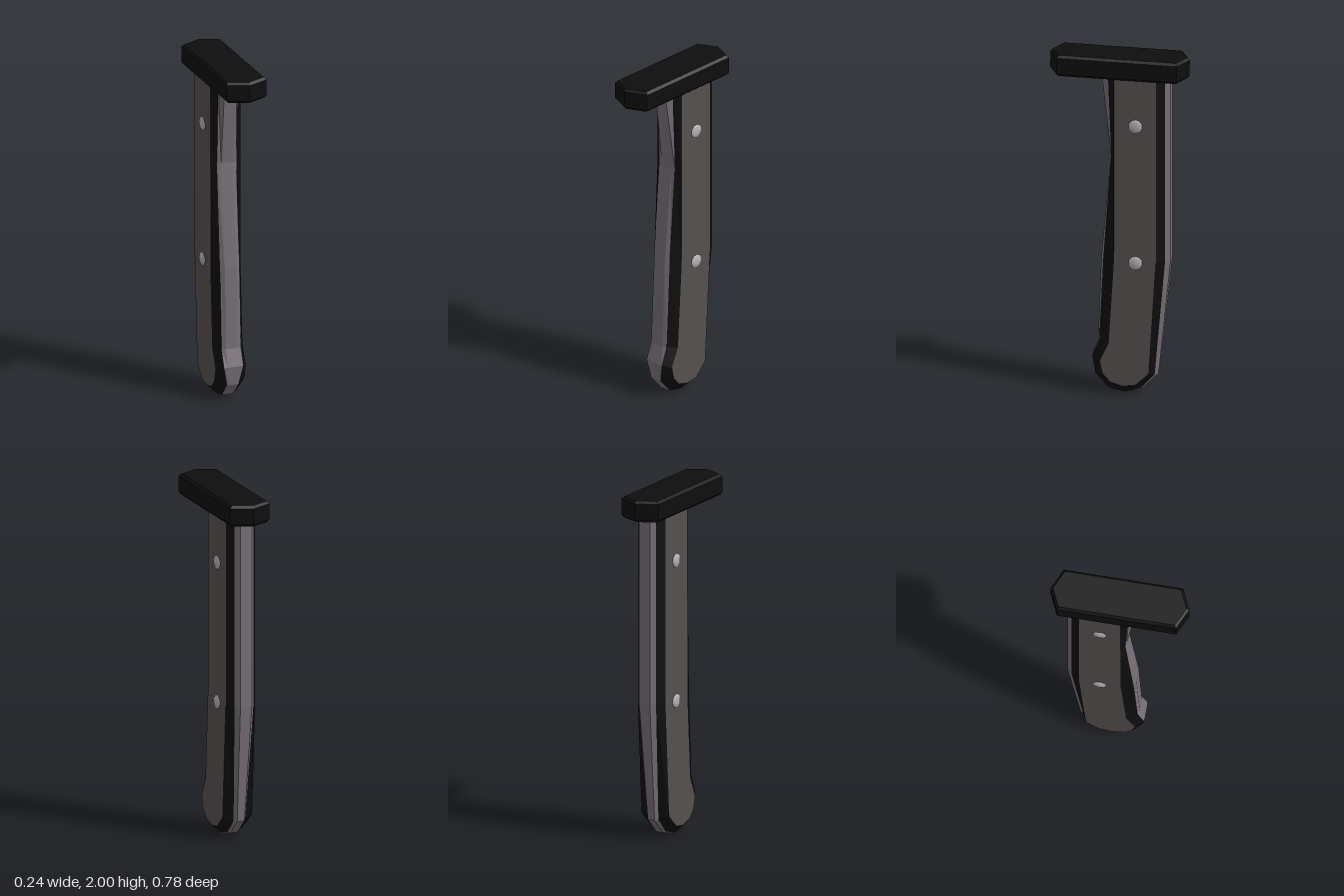
import * as THREE from 'three';

const mat = (name, color) => {
  const m = new THREE.MeshStandardMaterial({ color });
  m.name = name;
  m.flatShading = true;
  return m;
};

// Contours as [z, y], running down the front, round the butt and up the back
const edge = [[.10, 1.9], [.045, 1.4], [.10, .8], [.118, .32], [.148, .22], [.135, .11],
  [.06, .025], [-.03, .004], [-.13, .03], [-.22, .12], [-.29, .8], [-.29, 1.9]];
const seam = [[.06, 1.9], [.04, 1.4], [.085, .8], [.108, .32], [.146, .22], [.132, .11],
  [.058, .03], [-.03, .01], [-.125, .038], [-.20, .12], [-.262, .8], [-.262, 1.9]];
const face = [[.02, 1.9], [.02, 1.4], [.02, .8], [.05, .31], [.10, .2], [.085, .13],
  [.04, .08], [-.03, .06], [-.1, .07], [-.175, .14], [-.215, .8], [-.215, 1.9]];
const low = (y, a, b) => (y < .2 ? b : a);
const rim = (s) => edge.map(([z, y]) => [s * low(y, .035, .022), y, z]);
const bevel = (s) => seam.map(([z, y]) => [s * low(y, .058, .035), y, z]);
const flat = (s) => face.map(([z, y]) => [s * .09, y, z]);

function toGeometry(points) {
  const g = new THREE.BufferGeometry();
  g.setAttribute('position', new THREE.Float32BufferAttribute(points.flat(), 3));
  g.computeVertexNormals();
  return g;
}

// Band of quads between two contours, ordered from -x to +x
function band(a, b) {
  const p = [];
  for (let i = 0; i < a.length - 1; i++) {
    p.push(a[i], b[i + 1], b[i], a[i], a[i + 1], b[i + 1]);
  }
  return toGeometry(p);
}

// Flat filled side panel
function panel(s) {
  const ring = flat(s);
  const tris = THREE.ShapeUtils.triangulateShape(
    ring.map(([, y, z]) => new THREE.Vector2(-z, y)), []);
  return toGeometry(tris.flatMap((t) => (s > 0 ? t : [...t].reverse()).map((i) => ring[i])));
}

export function createModel() {
  const group = new THREE.Group();
  const steel = mat('grey steel', 0x787078);
  const black = mat('black', 0x0e0e0e);
  const grip = mat('dark grip', 0x55504e);
  const bright = mat('bright metal', 0xb4b0b4);

  const add = (name, geometry, material) => {
    const m = new THREE.Mesh(geometry, material);
    m.name = name;
    group.add(m);
    return m;
  };

  // Metal spine running round the handle
  add('spine', band(rim(-1), rim(1)), steel);

  for (const s of [1, -1]) {
    const side = s > 0 ? 'left' : 'right';
    const pair = (a, b) => (s > 0 ? band(a, b) : band(b, a));
    add(side + 'SpineBevel', pair(rim(s), bevel(s)), steel);
    add(side + 'GripBorder', pair(bevel(s), flat(s)), black);
    add(side + 'GripPanel', panel(s), grip);

    // Low domed rivets
    for (const y of [1.595, .79]) {
      const dome = new THREE.SphereGeometry(.041, 10, 4, 0, Math.PI * 2, 0, Math.PI / 2);
      dome.scale(1, .32, 1);
      const rivet = add(side + 'Rivet', dome, bright);
      rivet.rotation.z = -s * Math.PI / 2;
      rivet.position.set(s * .088, y, -.1);
    }
  }

  // Pointed six-sided crossguard with chamfered edges, slightly tilted
  const b = .014;
  const plan = new THREE.Shape([[0, .376], [-.106, .328], [-.106, -.328], [0, -.376],
    [.106, -.328], [.106, .328]].map(([x, y]) => new THREE.Vector2(x, y)));
  const guard = new THREE.ExtrudeGeometry(plan, {
    depth: .122 - 2 * b, bevelEnabled: true, bevelSize: b, bevelThickness: b, bevelSegments: 1,
  });
  guard.translate(0, 0, -(.122 - 2 * b) / 2);
  guard.rotateX(-Math.PI / 2);
  const crossguard = add('crossguard', guard, black);
  crossguard.rotation.x = -.019;
  crossguard.position.y = 1.931;

  return group;
}
